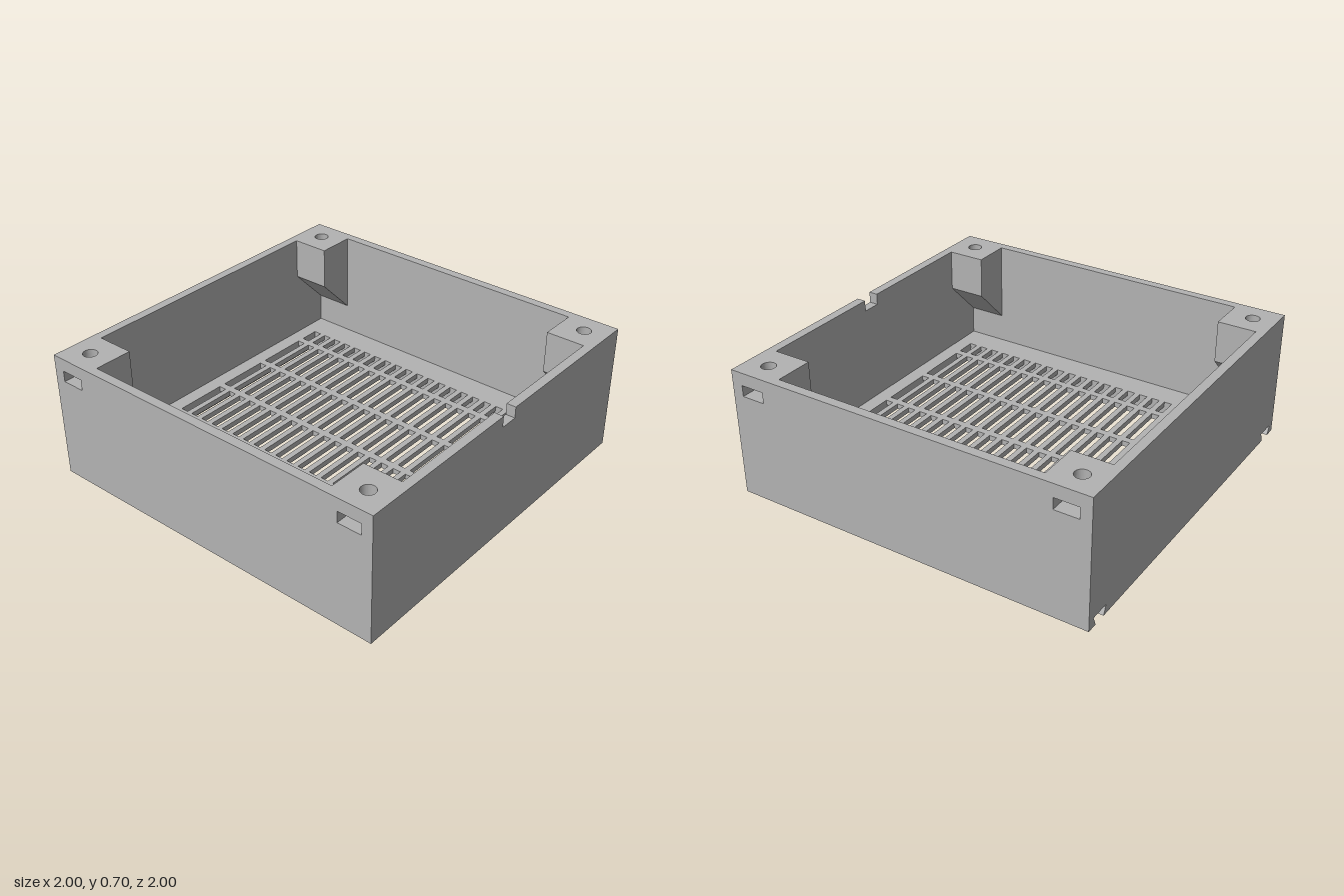
import * as THREE from 'three';

const shapeOf = (pts) => new THREE.Shape(pts.map(([a, b]) => new THREE.Vector2(a, b)));
const rect = (x0, x1, y0, y1) => [[x0, y0], [x1, y0], [x1, y1], [x0, y1]];

export function createModel() {
  const group = new THREE.Group();
  const grey = new THREE.MeshStandardMaterial({ color: 0xb2b2b2 });
  grey.name = 'grey plastic';

  const add = (name, geo) => {
    const mesh = new THREE.Mesh(geo, grey);
    mesh.name = name;
    group.add(mesh);
  };
  // Horizontal layer: plan shape raised from y0 to y1
  const layer = (name, shape, holes, y0, y1) => {
    shape.holes.push(...holes);
    const geo = new THREE.ExtrudeGeometry(shape, { depth: y1 - y0, bevelEnabled: false, curveSegments: 24 });
    add(name, geo.rotateX(-Math.PI / 2).translate(0, y0, 0));
  };
  // Profile in (z, y) run along x from x0 to x1
  const run = (name, pts, x0, x1) => {
    const geo = new THREE.ExtrudeGeometry(shapeOf(pts), { depth: x1 - x0, bevelEnabled: false });
    add(name, geo.rotateY(-Math.PI / 2).translate(x1, 0, 0));
  };
  const box = (name, x0, x1, y0, y1, z0, z1) =>
    add(name, new THREE.BoxGeometry(x1 - x0, y1 - y0, z1 - z0)
      .translate((x0 + x1) / 2, (y0 + y1) / 2, (z0 + z1) / 2));

  const IN = 0.95, POST = 0.74, RIM = 0.07, FLOOR = 0.1, SHELF = 0.47;
  const outer = rect(-1, 1, -1, 1);

  // Underside rim with a dovetail groove along each z side, open at the -x end
  for (const s of [1, -1]) {
    const rail = [[0.8, 0], [0.87, 0], [0.85, 0.05], [0.96, 0.05], [0.94, 0], [1, 0], [1, RIM], [0.8, RIM]];
    run('grooveRail', rail.map(([z, y]) => [s * z, y]), -1, 0.93);
    const z0 = s > 0 ? 0.8 : -1;
    box('grooveStop', 0.93, 1, 0, RIM, z0, z0 + 0.2);
    const x0 = s > 0 ? 0.87 : -1;
    box('sideRim', x0, x0 + 0.13, 0, RIM, -0.8, 0.8);
  }

  // Floor with vent slots
  const rows = [[-0.8, -0.69], [-0.65, -0.355], [-0.315, -0.02], [0.02, 0.315], [0.355, 0.65], [0.69, 0.8]];
  const slots = [];
  for (let i = 0; i < 23; i++) {
    const x = -0.87 + i * 0.077;
    for (const [a, b] of rows) slots.push(shapeOf(rect(x, x + 0.045, a, b)));
  }
  layer('ventFloor', shapeOf(outer), slots, RIM, FLOOR);

  // Walls below the corner posts
  layer('lowerWalls', shapeOf(outer), [shapeOf(rect(-IN, IN, -IN, IN))], FLOOR, SHELF);

  // Sloped supports under the posts
  for (const s of [1, -1]) {
    const wedge = [[s * POST, SHELF], [s * IN, SHELF], [s * IN, 0.26]];
    run('postSupport', wedge, POST, IN);
    run('postSupport', wedge, -IN, -POST);
  }

  // Inner outline around the posts, starting and ending on the +x wall
  const inner = [[IN, 0.05], [IN, POST], [POST, POST], [POST, IN], [-POST, IN], [-POST, POST], [-IN, POST],
    [-IN, -POST], [-POST, -POST], [-POST, -IN], [POST, -IN], [POST, -POST], [IN, -POST], [IN, -0.05]];
  const screwHoles = () => [[1, 1], [1, -1], [-1, 1], [-1, -1]].map(([a, b]) => {
    const p = new THREE.Path();
    p.absarc(a * 0.875, b * 0.875, 0.038, 0, Math.PI * 2);
    return p;
  });

  // Walls and posts, with nut slots through the front and back
  layer('postWalls', shapeOf(outer), [shapeOf(inner), ...screwHoles()], SHELF, 0.57);
  const slotted = [];
  for (const s of [1, -1]) {
    slotted.push([s, -s], [s, s]);
    for (const [a, b] of [[0.94, 0.81], [-0.81, -0.94]])
      slotted.push([s * a, s], [s * a, s * 0.81], [s * b, s * 0.81], [s * b, s]);
  }
  layer('nutSlotWalls', shapeOf(slotted), [shapeOf(inner)], 0.57, 0.63);
  layer('upperWalls', shapeOf(outer), [shapeOf(inner), ...screwHoles()], 0.63, 0.64);

  // Top edge with a cable notch in the +x wall
  const top = [[1, 0.05], [1, 1], [-1, 1], [-1, -1], [1, -1], [1, -0.05], ...inner.slice().reverse()];
  layer('topWalls', shapeOf(top), screwHoles(), 0.64, 0.7);

  return group;
}
